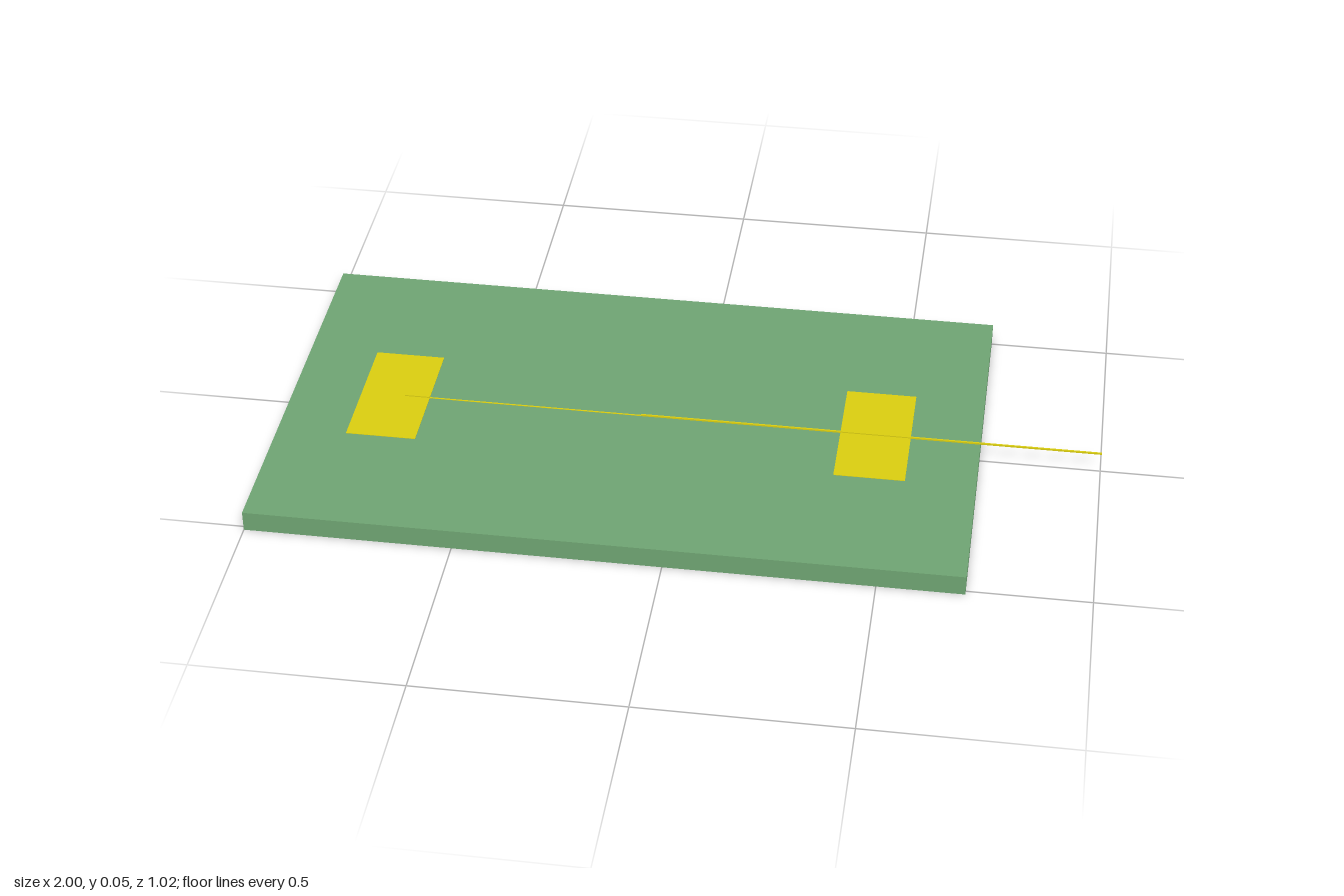
import * as THREE from 'three';

export function createModel() {
  const model = new THREE.Group();
  const green = new THREE.MeshStandardMaterial({ color: 0x6fa573 });
  const yellow = new THREE.MeshStandardMaterial({ color: 0xdccf10 });
  const boardTop = 0.051;

  // Box given by its x range, y range and depth, centred on z = 0
  function slab(name, x0, x1, y0, y1, depth, material) {
    const mesh = new THREE.Mesh(new THREE.BoxGeometry(x1 - x0, y1 - y0, depth), material);
    mesh.position.set((x0 + x1) / 2, (y0 + y1) / 2, 0);
    mesh.name = name;
    model.add(mesh);
  }

  // Flat base board
  slab('board', -1, 0.707, 0, boardTop, 1.024, green);

  // Two thin contact pads
  slab('rightPad', -0.83, -0.658, boardTop, boardTop + 0.001, 0.344, yellow);
  slab('leftPad', 0.365, 0.537, boardTop, boardTop + 0.001, 0.344, yellow);

  // Flush trace leaving the right pad, with raised leads at both ends
  slab('trace', -0.658, -0.128, boardTop, boardTop + 0.001, 0.004, yellow);
  slab('shortLead', -0.72, -0.658, boardTop, boardTop + 0.004, 0.004, yellow);
  slab('longLead', -0.128, 1, boardTop, boardTop + 0.004, 0.004, yellow);

  return model;
}
